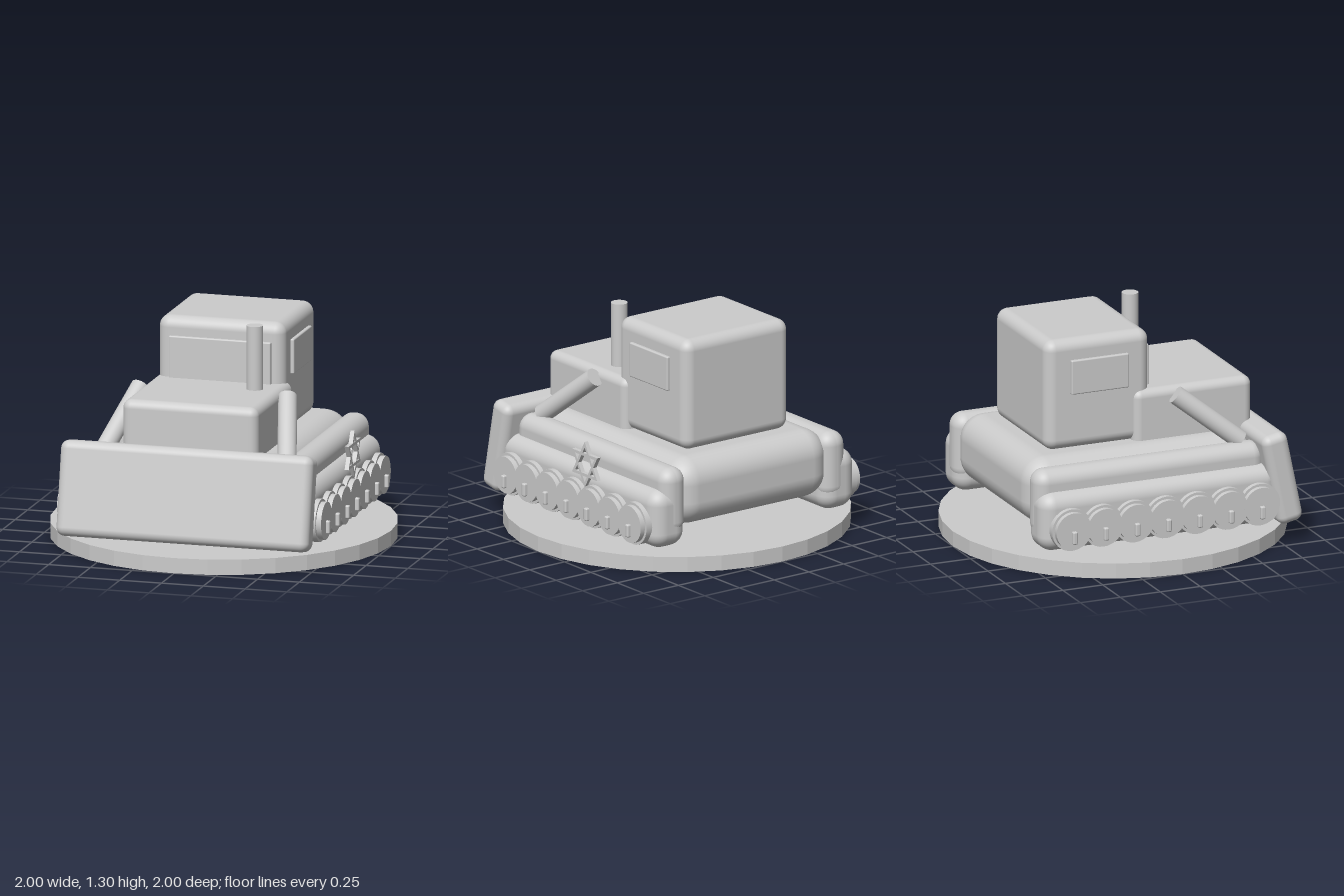
import * as THREE from 'three';
import { RoundedBoxGeometry } from 'three/addons/geometries/RoundedBoxGeometry.js';

export function createModel() {
  const model = new THREE.Group();
  model.name = 'bulldozerOnStand';
  const grey = new THREE.MeshStandardMaterial({ color: 0xcccccc });
  grey.name = 'lightGrey';

  const add = (name, geometry, x = 0, y = 0, z = 0) => {
    const mesh = new THREE.Mesh(geometry, grey);
    mesh.name = name;
    mesh.position.set(x, y, z);
    model.add(mesh);
    return mesh;
  };
  // Rounded box given by its limits on each axis
  const box = (name, [x0, x1], [y0, y1], [z0, z1], r) =>
    add(name, new RoundedBoxGeometry(x1 - x0, y1 - y0, z1 - z0, 5, r),
      (x0 + x1) / 2, (y0 + y1) / 2, (z0 + z1) / 2);
  // Cylinder between two points
  const rod = (name, a, b, r) => {
    const from = new THREE.Vector3(...a), to = new THREE.Vector3(...b);
    const dir = to.clone().sub(from);
    const mesh = add(name, new THREE.CylinderGeometry(r, r, dir.length(), 32));
    mesh.position.copy(from).add(to).multiplyScalar(0.5);
    mesh.quaternion.setFromUnitVectors(new THREE.Vector3(0, 1, 0), dir.normalize());
    return mesh;
  };

  // Round stand with faceted rim
  add('stand', new THREE.CylinderGeometry(1, 1, 0.09, 32).toNonIndexed(), 0, 0.045, 0)
    .geometry.computeVertexNormals();

  // Hull, hood and cab
  box('hull', [-0.56, 0.56], [0.22, 0.625], [-0.76, 0.68], 0.15);
  box('hood', [-0.405, 0.405], [0.5, 0.925], [-0.04, 0.7], 0.05);
  box('cab', [-0.378, 0.378], [0.62, 1.28], [-0.58, 0.073], 0.065);
  box('frontWindow', [-0.305, 0.305], [0.86, 1.17], [0.06, 0.092], 0.008);
  rod('exhaust', [0.25, 0.85, 0.218], [0.25, 1.3, 0.218], 0.048);

  // Tilted blade
  const blade = add('blade', new RoundedBoxGeometry(1.51, 0.553, 0.159, 5, 0.05), 0, 0.398, 0.745);
  blade.rotation.x = -0.204;

  for (const s of [-1, 1]) {
    const side = s > 0 ? 'left' : 'right';
    const span = (a, b) => (s > 0 ? [a, b] : [-b, -a]);
    box(side + 'SideWindow', span(0.365, 0.398), [0.955, 1.16], [-0.43, -0.07], 0.008);
    box(side + 'Fender', span(0.49, 0.66), [0.2, 0.6], [-0.76, 0.68], 0.08);
    box(side + 'Track', span(0.49, 0.73), [0.13, 0.48], [-0.757, 0.74], 0.09);
    rod(side + 'BladeArm', [s * 0.44, 0.89, 0.2], [s * 0.545, 0.6, 0.56], 0.055);

    // Overlapping road wheels with raised discs and hub pins
    for (let i = 0; i < 7; i++) {
      const z = 0.59 - i * 0.196;
      rod(side + 'Wheel', [s * 0.65, 0.27, z], [s * 0.76, 0.27, z], 0.125);
      rod(side + 'WheelDisc', [s * 0.74, 0.27, z], [s * 0.79, 0.27, z], 0.11);
      box(side + 'HubPin', span(0.76, 0.812), [0.195, 0.272], [z - 0.015, z + 0.015], 0.009);
    }
  }

  // Six-pointed ornament: two outlined triangles on the left flank
  const triangle = (PathType, r, turn) => new PathType([0, 1, 2].map((i) => {
    const a = Math.PI / 2 + turn + (i * 2 * Math.PI) / 3;
    return new THREE.Vector2(r * Math.cos(a), r * Math.sin(a));
  }));
  for (const turn of [0, Math.PI]) {
    const shape = triangle(THREE.Shape, 0.138, turn);
    shape.holes.push(triangle(THREE.Path, 0.104, turn));
    const geometry = new THREE.ExtrudeGeometry(shape, { depth: 0.025, bevelEnabled: false });
    add('starOrnament', geometry.rotateY(Math.PI / 2), 0.724, 0.5, -0.11);
  }
  return model;
}
